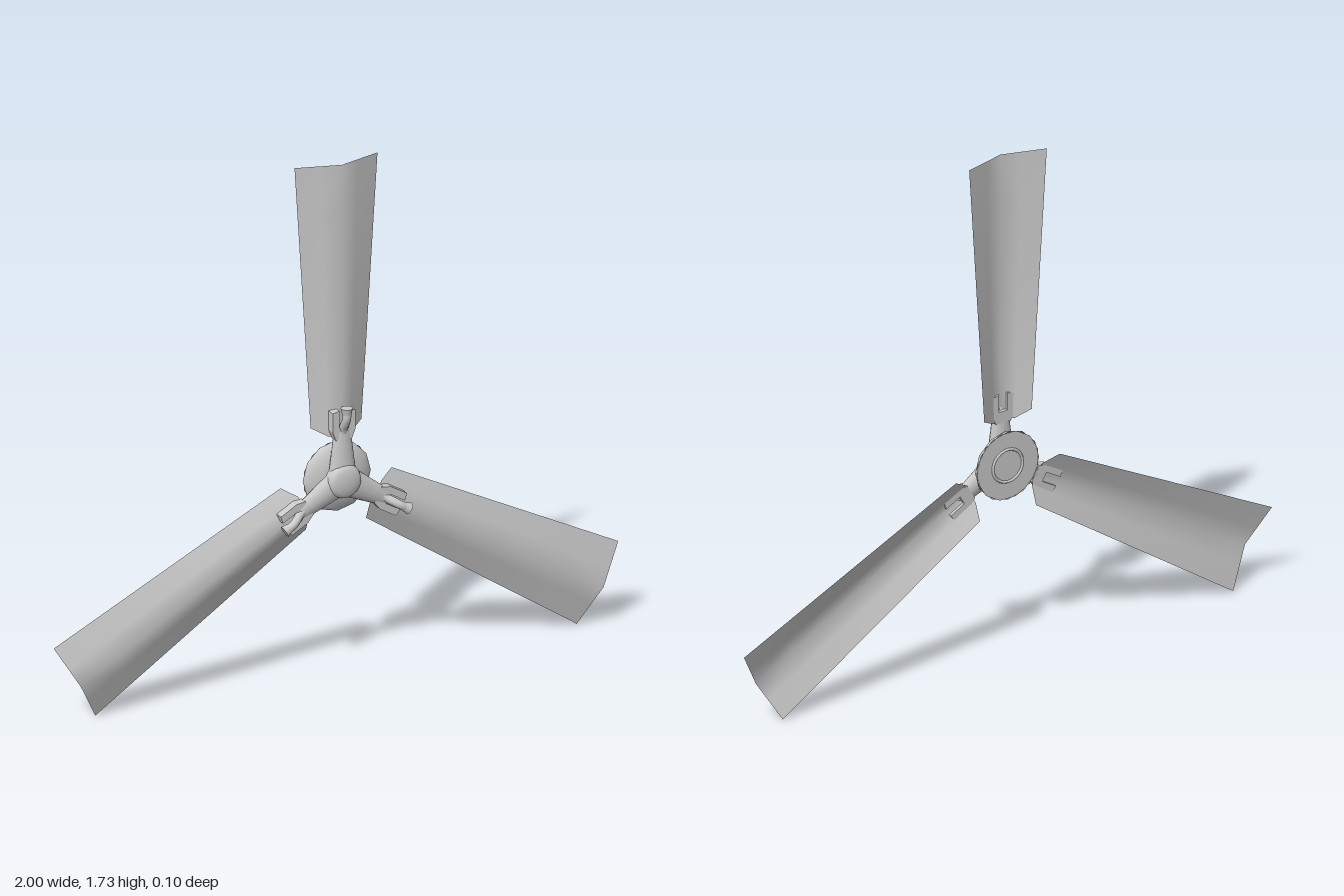
import * as THREE from 'three';

const grey = new THREE.MeshStandardMaterial({ color: 0xcccccc });
const thin = new THREE.MeshStandardMaterial({ color: 0xcccccc, side: THREE.DoubleSide });

function part(parent, name, geometry, material = grey) {
  const mesh = new THREE.Mesh(geometry, material);
  mesh.name = name;
  parent.add(mesh);
  return mesh;
}

// Solid of revolution about the z axis; points are [radius, z] from back to front
function turned(points, sides) {
  const g = new THREE.LatheGeometry(points.map(([r, z]) => new THREE.Vector2(r, z)), sides);
  return g.rotateX(Math.PI / 2);
}

// Thin blade along +y, bent along its middle line, with clipped root corners
function bladeGeometry() {
  const across = [-1, -0.45, 0, 0.45, 1];
  const rootY = [0.175, 0.147, 0.145, 0.147, 0.175];
  const rows = 6, pos = [], index = [];
  for (let j = 0; j <= rows; j++) {
    const t = j / rows;
    const half = THREE.MathUtils.lerp(0.09, 0.147, t);
    across.forEach((u, i) => {
      const y = THREE.MathUtils.lerp(rootY[i], 1.07, t);
      pos.push(u * half, y, -0.003 - 0.043 * Math.abs(u));
    });
  }
  for (let j = 0; j < rows; j++) {
    for (let i = 0; i < 4; i++) {
      const a = j * 5 + i;
      index.push(a, a + 1, a + 6, a, a + 6, a + 5);
    }
  }
  const g = new THREE.BufferGeometry();
  g.setAttribute('position', new THREE.Float32BufferAttribute(pos, 3));
  g.setIndex(index);
  g.computeVertexNormals();
  return g;
}

// Forked bracket at the end of an arm
function forkGeometry() {
  const s = new THREE.Shape();
  [[-0.028, 0.14], [0.028, 0.14], [0.04, 0.17], [0.04, 0.235], [0.016, 0.24], [0.016, 0.18],
    [-0.016, 0.18], [-0.016, 0.24], [-0.04, 0.235], [-0.04, 0.17]]
    .forEach(([x, y], i) => (i ? s.lineTo(x, y) : s.moveTo(x, y)));
  return new THREE.ExtrudeGeometry(s, { depth: 0.03, bevelEnabled: false }).translate(0, 0, -0.02);
}

export function createModel() {
  const model = new THREE.Group();
  model.name = 'rotor';
  const rotor = new THREE.Group();
  rotor.name = 'rotorAssembly';
  rotor.position.y = 0.662;
  model.add(rotor);

  // Hub: flared backing disc, rounded nose cap, ring on the back
  part(rotor, 'hubDisc', turned([[0.118, -0.046], [0.118, -0.036], [0.1, -0.022], [0.06, -0.008], [0, -0.004]], 12), thin);
  part(rotor, 'hubBack', new THREE.CircleGeometry(0.118, 12).rotateZ(Math.PI / 12).translate(0, 0, -0.045), thin);
  part(rotor, 'backRing', new THREE.TorusGeometry(0.056, 0.005, 6, 24)).position.z = -0.045;
  part(rotor, 'noseCap', turned([[0.058, -0.015], [0.058, 0.012], [0.053, 0.024], [0.04, 0.031], [0.02, 0.034], [0, 0.035]], 24), thin);

  const blade = bladeGeometry();
  const fork = forkGeometry();
  // Arm flares where it meets the hub
  const arm = new THREE.CylinderGeometry(0.029, 0.05, 0.16, 12, 3).scale(1, 1, 0.55).translate(0, 0.09, -0.003);
  const hookPath = new THREE.CatmullRomCurve3([[0.145, -0.003], [0.175, 0.004], [0.2, 0.02], [0.22, 0.029], [0.245, 0.03]]
    .map(([y, z]) => new THREE.Vector3(0, y, z)));
  const hook = new THREE.TubeGeometry(hookPath, 12, 0.014, 10);
  const hookEnd = new THREE.CylinderGeometry(0.02, 0.014, 0.024, 10).translate(0, 0.242, 0.029);

  for (let i = 0; i < 3; i++) {
    const spoke = new THREE.Group();
    spoke.name = 'spoke' + (i + 1);
    spoke.rotation.z = i * Math.PI * 2 / 3;
    rotor.add(spoke);
    part(spoke, 'blade', blade, thin);
    part(spoke, 'arm', arm);
    part(spoke, 'fork', fork);
    part(spoke, 'hook', hook);
    part(spoke, 'hookEnd', hookEnd);
  }
  return model;
}
